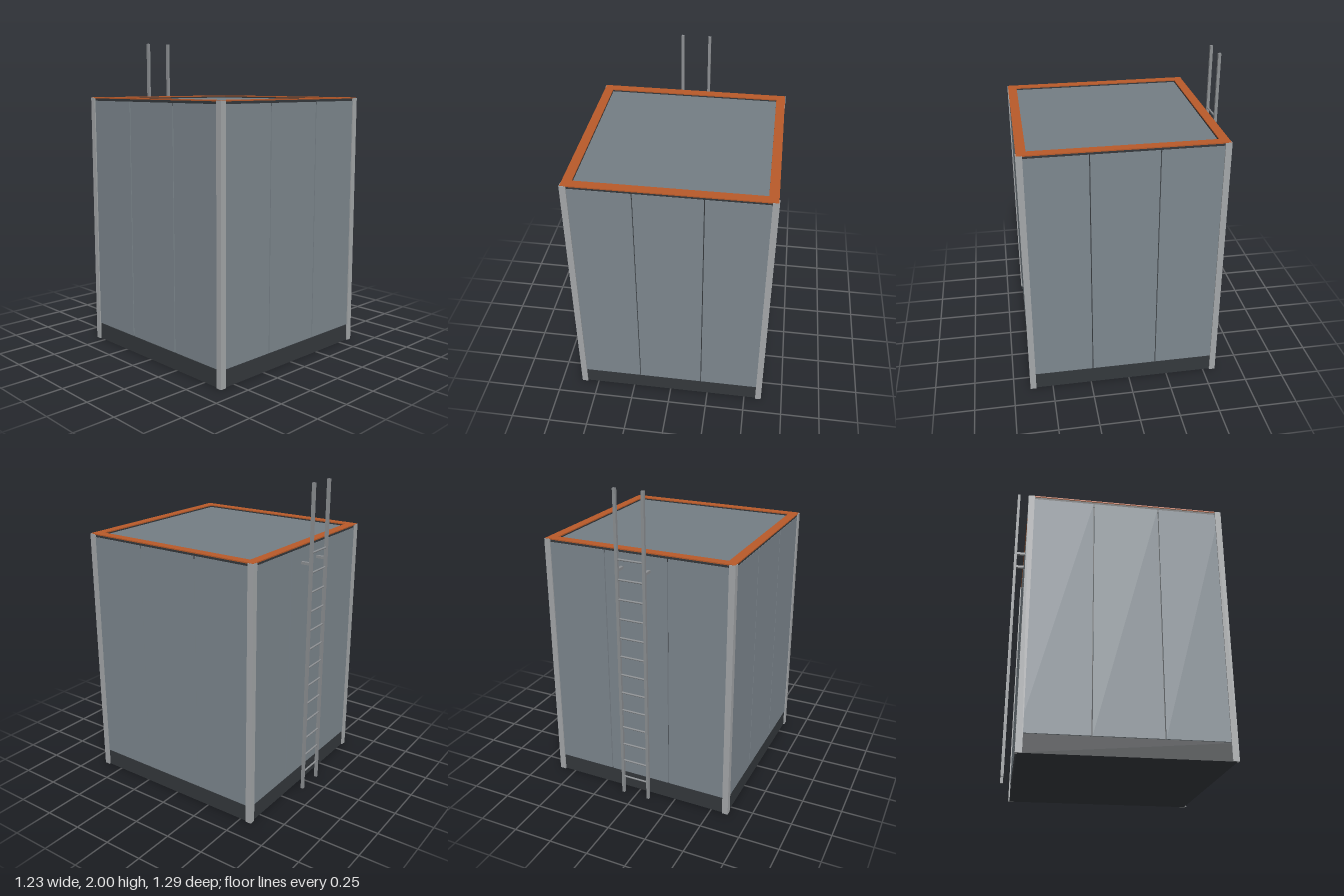
import * as THREE from 'three';

const mat = (color) => new THREE.MeshStandardMaterial({ color });
const CZ = 0.032; // depth centre of the cabin, which sits ahead of the ladder

export function createModel() {
  const model = new THREE.Group();
  const panelMat = mat(0x7d878e), roofMat = mat(0x747d84), darkMat = mat(0x34383c);
  const trimMat = mat(0xa4a7a9), orangeMat = mat(0xb85a2a), steelMat = mat(0x8c8f92);

  const add = (name, geometry, material, x, y, z, parent = model) => {
    const mesh = new THREE.Mesh(geometry, material);
    mesh.name = name;
    mesh.position.set(x, y, z);
    parent.add(mesh);
    return mesh;
  };
  const box = (name, w, h, d, material, x, y, z, parent) =>
    add(name, new THREE.BoxGeometry(w, h, d), material, x, y, z, parent);

  // Square ring lying flat, extruded upward
  const ring = (name, outer, inner, bottom, height, material) => {
    const square = (h, Type) => new Type([[-h, -h], [h, -h], [h, h], [-h, h]].map(([x, y]) => new THREE.Vector2(x, y)));
    const shape = square(outer, THREE.Shape);
    shape.holes.push(square(inner, THREE.Path));
    const geometry = new THREE.ExtrudeGeometry(shape, { depth: height, bevelEnabled: false });
    geometry.rotateX(-Math.PI / 2);
    add(name, geometry, material, 0, bottom, CZ);
  };

  // Dark inner core, plinth and recessed roof
  box('core', 1.19, 1.6, 1.19, darkMat, 0, 0.8, CZ);
  box('plinth', 1.208, 0.106, 1.208, darkMat, 0, 0.053, CZ);
  box('roof', 1.12, 0.02, 1.12, roofMat, 0, 1.61, CZ);

  // Parapet with coloured coping
  ring('parapet', 0.604, 0.552, 1.595, 0.033, darkMat);
  ring('coping', 0.609, 0.552, 1.628, 0.007, orangeMat);

  // Three wall panels per side, separated by narrow dark seams
  for (let side = 0; side < 4; side++) {
    const wall = new THREE.Group();
    wall.name = 'wall';
    wall.position.z = CZ;
    wall.rotation.y = side * Math.PI / 2;
    for (let i = -1; i <= 1; i++) {
      box('wallPanel', i === 0 ? 0.402 : 0.396, 1.503, 0.014, panelMat, i * 0.405, 0.8615, 0.599, wall);
    }
    model.add(wall);
  }

  // L-shaped corner trims
  const corner = new THREE.Shape([[0, 0], [-0.038, 0], [-0.038, -0.012], [-0.012, -0.012], [-0.012, -0.038], [0, -0.038]]
    .map(([x, y]) => new THREE.Vector2(x, y)));
  const cornerGeometry = new THREE.ExtrudeGeometry(corner, { depth: 1.632, bevelEnabled: false });
  cornerGeometry.rotateX(-Math.PI / 2);
  cornerGeometry.translate(0.613, 0, -0.613);
  for (let i = 0; i < 4; i++) {
    add('cornerTrim', cornerGeometry, trimMat, 0, 0, CZ).rotation.y = i * Math.PI / 2;
  }

  // Rear ladder: rails, wall brackets and rungs
  const ladder = new THREE.Group();
  ladder.name = 'ladder';
  ladder.position.z = -0.636;
  model.add(ladder);
  for (const x of [-0.088, 0.088]) {
    box('ladderRail', 0.018, 2, 0.018, steelMat, x, 1, 0, ladder);
    box('ladderBracket', 0.018, 0.016, 0.07, steelMat, x, 1.523, 0.035, ladder);
  }
  const rungGeometry = new THREE.CylinderGeometry(0.006, 0.006, 0.176, 10);
  rungGeometry.rotateZ(Math.PI / 2);
  for (let i = 0; i < 13; i++) {
    add('ladderRung', rungGeometry, steelMat, 0, 0.12 + i * 0.1225, 0, ladder);
  }
  return model;
}
